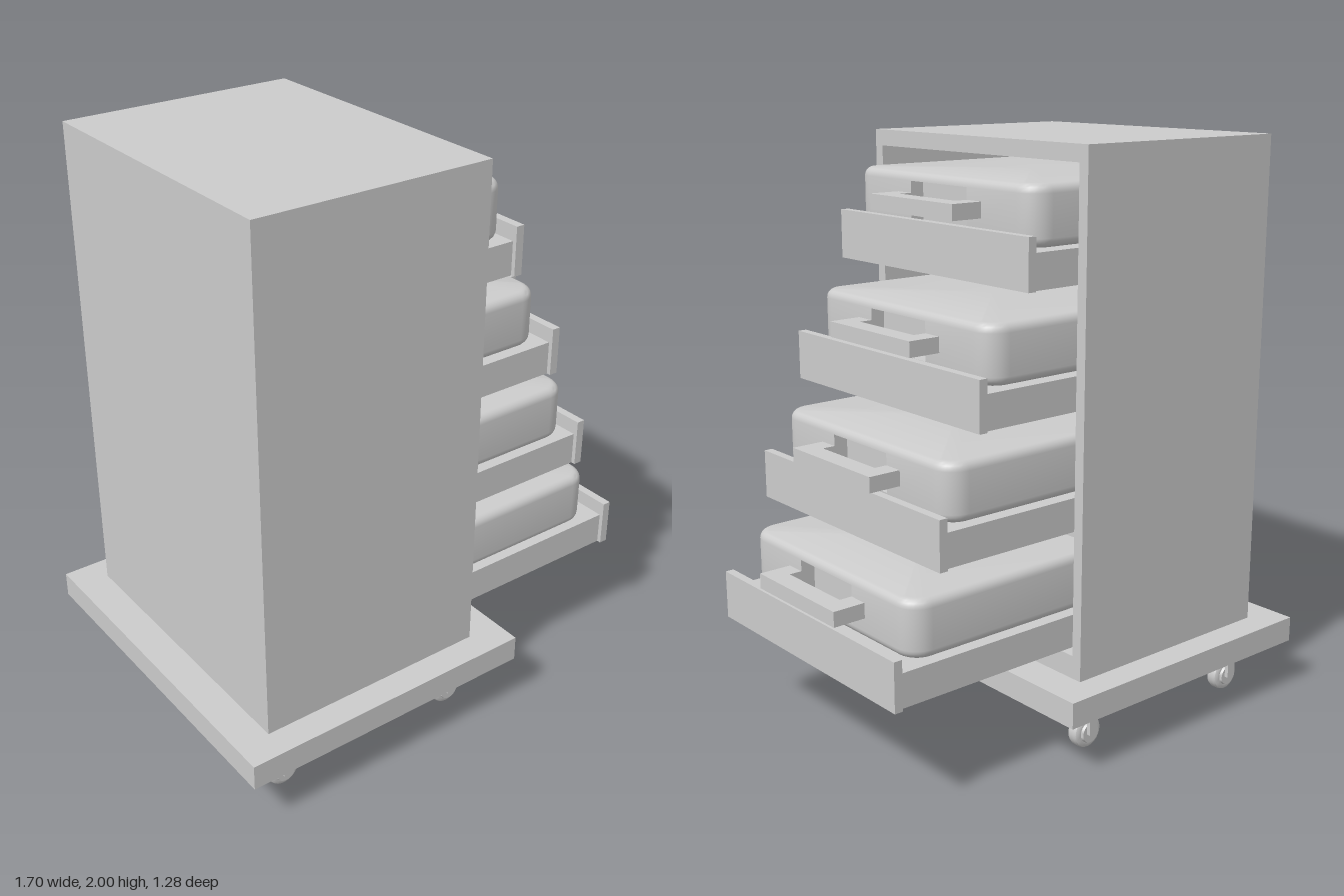
import * as THREE from 'three';
import { toCreasedNormals } from 'three/addons/utils/BufferGeometryUtils.js';

const material = new THREE.MeshStandardMaterial({ color: 0xcccccc });

function add(parent, name, geometry, x = 0, y = 0, z = 0) {
  const mesh = new THREE.Mesh(geometry, material);
  mesh.name = name;
  mesh.position.set(x, y, z);
  parent.add(mesh);
  return mesh;
}

// Box given by its limits on each axis
function box(parent, name, [x0, x1], [y0, y1], [z0, z1]) {
  return add(parent, name, new THREE.BoxGeometry(x1 - x0, y1 - y0, z1 - z0),
    (x0 + x1) / 2, (y0 + y1) / 2, (z0 + z1) / 2);
}

// Closed polygon in x and z, swept up along y
function slab(points, height) {
  const shape = new THREE.Shape(points.map(([x, z]) => new THREE.Vector2(x, -z)));
  return new THREE.ExtrudeGeometry(shape, { depth: height, bevelEnabled: false }).rotateX(-Math.PI / 2);
}

// Plan outline of a case whose front lies at x = 0, with a grip recess in the middle
function caseOutline(y, inset, notch) {
  const length = 0.76, half = 0.46, r = 0.08, grip = 0.145, steps = 8;
  const ring = [[-length, half - inset]];
  const corner = (side, from, to) => {
    for (let i = 0; i <= steps; i++) {
      const a = from + (to - from) * i / steps;
      ring.push([-r + Math.cos(a) * (r - inset), side * (half - r + Math.sin(a) * (r - inset))]);
    }
  };
  corner(1, Math.PI / 2, 0);
  ring.push([-inset, grip], [-inset - notch, grip], [-inset - notch, -grip], [-inset, -grip]);
  corner(-1, 0, Math.PI / 2);
  ring.push([-length, inset - half]);
  return ring.map(([x, z]) => [x, y, z]);
}

// Soft-edged case lofted through stacked outlines
function caseGeometry() {
  const y0 = 0.12, y1 = 0.315, r = 0.03, depth = 0.05;
  const rings = [];
  for (let i = 0; i <= 5; i++) {
    const a = i / 5 * Math.PI / 2;
    rings.push(caseOutline(y0 + r * (1 - Math.sin(a)), r * (1 - Math.cos(a)), 0));
  }
  rings.reverse();
  rings.sort((a, b) => a[0][1] - b[0][1]);
  rings.push(caseOutline(0.155, 0, 0), caseOutline(0.155, 0, depth));
  rings.push(caseOutline(0.285, 0, depth), caseOutline(0.285, 0, 0));
  for (let i = 0; i <= 5; i++) {
    const a = i / 5 * Math.PI / 2;
    rings.push(caseOutline(y1 - r * (1 - Math.sin(a)), r * (1 - Math.cos(a)), 0));
  }
  const pos = [], n = rings[0].length;
  for (let k = 0; k < rings.length - 1; k++) {
    for (let j = 0; j < n; j++) {
      const a = rings[k][j], b = rings[k][(j + 1) % n];
      const c = rings[k + 1][(j + 1) % n], d = rings[k + 1][j];
      pos.push(...a, ...b, ...c, ...a, ...c, ...d);
    }
  }
  const bottom = rings[0], top = rings[rings.length - 1];
  for (let j = 0; j < n; j++) {
    const next = (j + 1) % n;
    pos.push(-0.4, y1, 0, ...top[j], ...top[next]);
    pos.push(-0.4, y0, 0, ...bottom[next], ...bottom[j]);
  }
  const geometry = new THREE.BufferGeometry();
  geometry.setAttribute('position', new THREE.Float32BufferAttribute(pos, 3));
  return toCreasedNormals(geometry, 0.7);
}

function createCabinet() {
  const cabinet = new THREE.Group();
  cabinet.name = 'cabinet';
  // Frame open toward +x
  const frame = new THREE.Shape([[-0.54, 0.27], [0.54, 0.27], [0.54, 2], [-0.54, 2]]
    .map(p => new THREE.Vector2(...p)));
  frame.holes.push(new THREE.Path([[-0.502, 0.35], [-0.502, 1.945], [0.502, 1.945], [0.502, 0.35]]
    .map(p => new THREE.Vector2(...p))));
  const shell = new THREE.ExtrudeGeometry(frame, { depth: 0.80, bevelEnabled: false });
  add(cabinet, 'cabinetShell', shell.rotateY(Math.PI / 2), -0.69);
  box(cabinet, 'cabinetBack', [-0.73, -0.69], [0.27, 2], [-0.54, 0.54]);
  return cabinet;
}

// Drawer with a solid tray, front panel, case and pull handle
function createDrawer(bottom, panelX, caseX, caseShape) {
  const drawer = new THREE.Group();
  drawer.name = 'drawer';
  drawer.position.y = bottom;
  box(drawer, 'tray', [Math.max(panelX - 0.85, -0.66), panelX - 0.03], [0, 0.115], [-0.475, 0.475]);
  box(drawer, 'drawerFront', [panelX - 0.03, panelX], [0, 0.167], [-0.49, 0.49]);
  add(drawer, 'case', caseShape, caseX);
  const handle = slab([[-0.01, 0.215], [0.115, 0.215], [0.115, -0.215], [-0.01, -0.215],
    [-0.01, -0.145], [0.045, -0.145], [0.045, 0.145], [-0.01, 0.145]], 0.052);
  add(drawer, 'handle', handle, caseX, 0.194);
  return drawer;
}

// Wheel held by two thin fork plates
function createCaster(x, z) {
  const caster = new THREE.Group();
  caster.name = 'caster';
  caster.position.set(x, 0, z);
  const half = [[0, -0.033], [0.034, -0.033], [0.037, -0.024], [0.046, -0.024], [0.055, -0.018], [0.058, -0.01]];
  const profile = [...half, ...half.map(([r, h]) => [r, -h]).reverse()].map(p => new THREE.Vector2(...p));
  const wheel = toCreasedNormals(new THREE.LatheGeometry(profile, 28), 0.6);
  add(caster, 'wheel', wheel.rotateX(Math.PI / 2), 0, 0.058);
  for (const s of [-1, 1]) {
    box(caster, 'forkPlate', [-0.018, 0.018], [0.058, 0.18], [s * 0.04 - 0.007, s * 0.04 + 0.007]);
  }
  return caster;
}

export function createModel() {
  const model = new THREE.Group();
  model.name = 'drawerTrolley';
  model.add(createCabinet());
  box(model, 'basePlate', [-0.85, 0.235], [0.18, 0.27], [-0.64, 0.64]);

  // Drawers pulled out further toward the bottom: tray bottom, panel front, case front
  const caseShape = caseGeometry();
  const drawers = [[1.57, 0.30, 0.255], [1.167, 0.49, 0.425], [0.767, 0.645, 0.585], [0.365, 0.82, 0.73]];
  for (const [bottom, panelX, caseX] of drawers) {
    model.add(createDrawer(bottom, panelX, caseX, caseShape));
  }
  for (const x of [-0.655, 0.04]) {
    for (const z of [-0.49, 0.49]) model.add(createCaster(x, z));
  }
  return model;
}
